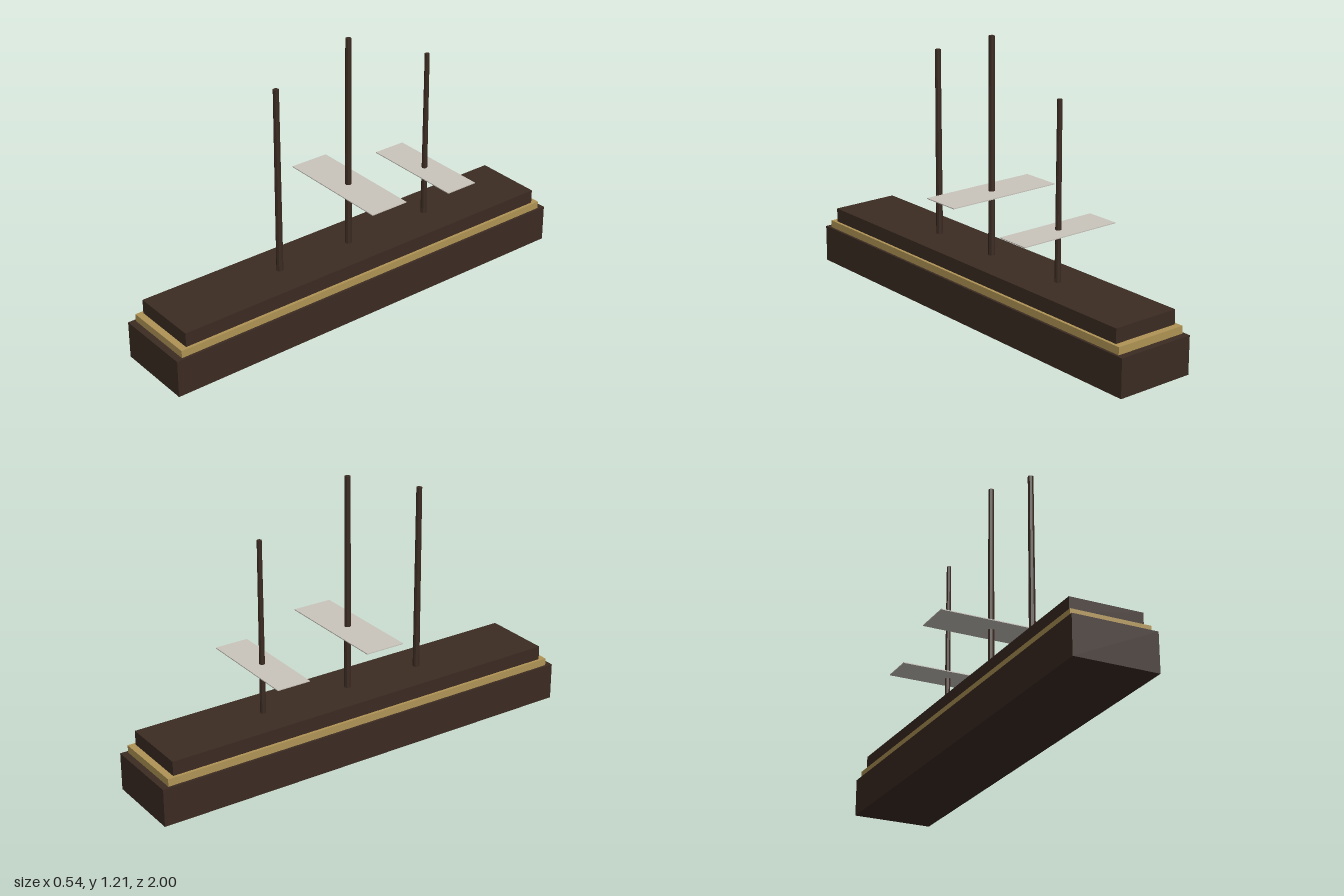
import * as THREE from 'three';

export function createModel() {
  const model = new THREE.Group();
  model.name = 'ship';

  const wood = new THREE.MeshStandardMaterial({ color: 0x3b2b22 });
  wood.name = 'dark wood';
  wood.flatShading = true;
  const gold = new THREE.MeshStandardMaterial({ color: 0xb09455 });
  gold.name = 'gold trim';
  const canvas = new THREE.MeshStandardMaterial({ color: 0xcac6bd });
  canvas.name = 'pale canvas';

  const add = (name, geometry, material, x, y, z) => {
    const mesh = new THREE.Mesh(geometry, material);
    mesh.name = name;
    mesh.position.set(x, y, z);
    model.add(mesh);
  };

  // Stepped hull: each slab is [name, material, width, bottom, top, length]
  const slabs = [
    ['hull', wood, 0.362, 0, 0.167, 2],
    ['trimBand', gold, 0.34, 0.167, 0.2, 1.94],
    ['deck', wood, 0.314, 0.2, 0.263, 1.88],
  ];
  for (const [name, material, width, bottom, top, length] of slabs) {
    add(name, new THREE.BoxGeometry(width, top - bottom, length), material, 0, (bottom + top) / 2, 0);
  }

  // Slightly tapered masts: [name, z, top, top radius, bottom radius]
  const deckTop = 0.263;
  const masts = [
    ['foreMast', 0.365, 1.093, 0.0125, 0.015],
    ['mainMast', 0, 1.214, 0.0125, 0.015],
    ['rearMast', -0.425, 1.03, 0.0105, 0.013],
  ];
  for (const [name, z, top, rTop, rBottom] of masts) {
    const height = top - deckTop;
    add(name, new THREE.CylinderGeometry(rTop, rBottom, height, 8), wood, 0, deckTop + height / 2, z);
  }

  // Flat horizontal sails threaded on the two rear masts
  add('mainSail', new THREE.BoxGeometry(0.544, 0.004, 0.18), canvas, 0, 0.546, 0);
  add('rearSail', new THREE.BoxGeometry(0.484, 0.004, 0.152), canvas, 0, 0.485, -0.426);

  return model;
}
